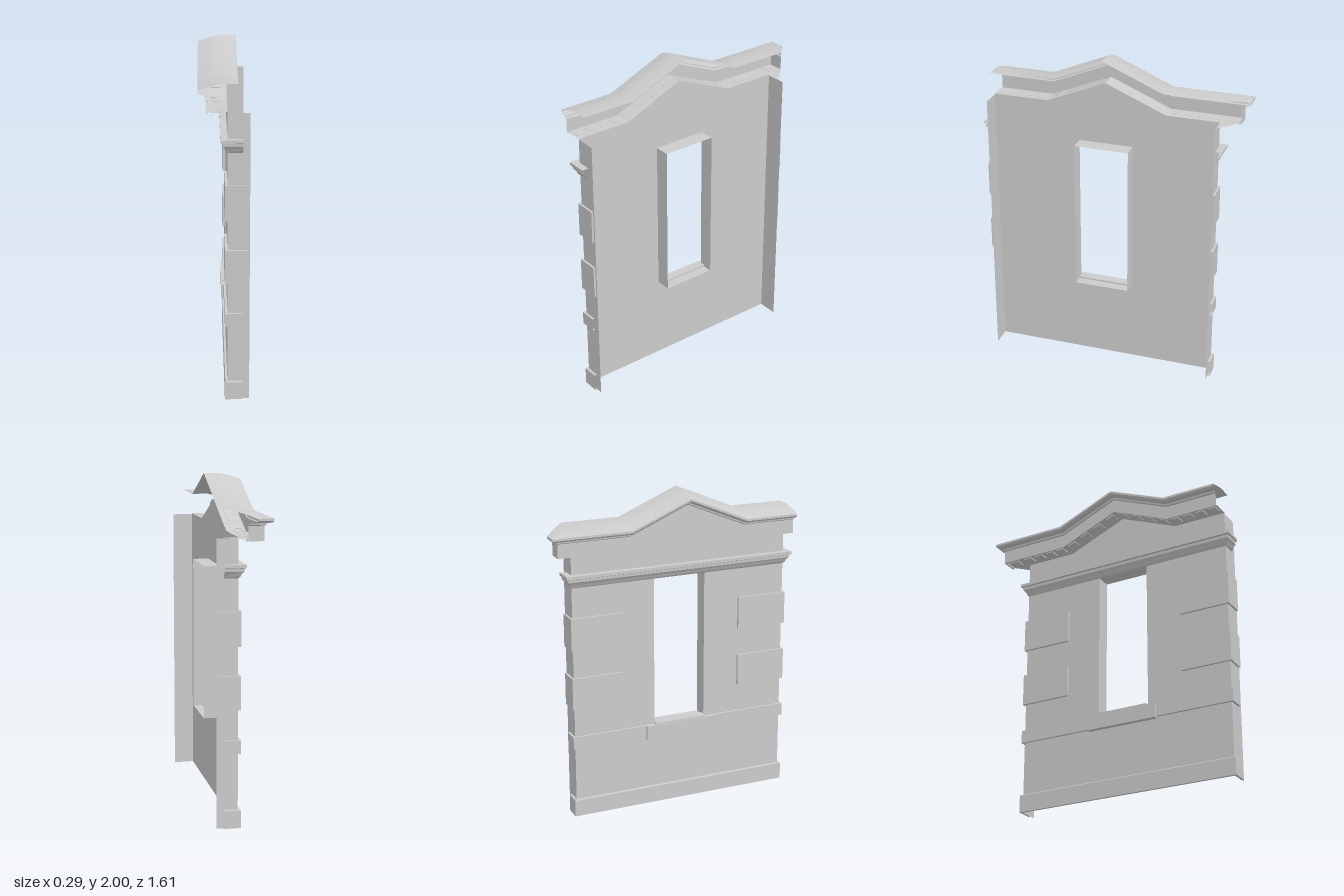
import * as THREE from 'three';
import { toCreasedNormals } from 'three/addons/utils/BufferGeometryUtils.js';

const WX = 0.015;              // wall plane, the facade faces -x
const Z0 = 0.765, Z1 = -0.635; // the two ends of the wall
const GABLE = [[Z0, 0], [0.43, 0], [0.06, 0.155], [-0.31, 0]]; // z, rise
const WIN = { z0: -0.11, z1: 0.225, y0: 0.525, y1: 1.46 };

const mat = new THREE.MeshStandardMaterial({ color: 0xcccccc, side: THREE.DoubleSide });

function add(parent, name, geo) {
  const mesh = new THREE.Mesh(geo, mat);
  mesh.name = name;
  parent.add(mesh);
  return mesh;
}

// box from its two extreme corners
function box(parent, name, x0, x1, y0, y1, z0, z1) {
  const m = add(parent, name, new THREE.BoxGeometry(x1 - x0, y1 - y0, z1 - z0));
  m.position.set((x0 + x1) / 2, (y0 + y1) / 2, (z0 + z1) / 2);
  return m;
}

// sweep a profile of [offset from wall, height] through stations; offset -> [x, z, rise]
function sweep(profile, stations) {
  const pos = [], idx = [], n = profile.length;
  for (const st of stations)
    for (const [d, y] of profile) {
      const [x, z, h] = st(d);
      pos.push(x, y + h, z);
    }
  for (let s = 0; s < stations.length - 1; s++)
    for (let i = 0; i < n - 1; i++) {
      const a = s * n + i, b = a + n;
      idx.push(a, a + 1, b, b, a + 1, b + 1);
    }
  const geo = new THREE.BufferGeometry();
  geo.setAttribute('position', new THREE.Float32BufferAttribute(pos, 3));
  geo.setIndex(idx);
  return toCreasedNormals(geo, 0.5);
}

// horizontal moulding along the facade, returning round both ends
function band(parent, name, profile, xEnd) {
  add(parent, name, sweep(profile, [
    d => [xEnd, Z0 + d, 0],
    d => [WX - d, Z0 + d, 0],
    d => [WX - d, Z1 - d, 0],
    d => [xEnd, Z1 - d, 0],
  ]));
}

export function createModel() {
  const model = new THREE.Group();
  model.name = 'gabledWallSection';

  // wall sheet with gable top and window hole; shape x is -z
  const shape = new THREE.Shape();
  shape.moveTo(-Z0, 0);
  for (const [z, h] of GABLE) shape.lineTo(-z, 1.69 + h);
  shape.lineTo(-Z1, 1.69);
  shape.lineTo(-Z1, 0);
  const hole = new THREE.Path();
  hole.moveTo(-WIN.z1, WIN.y0);
  hole.lineTo(-WIN.z1, WIN.y1);
  hole.lineTo(-WIN.z0, WIN.y1);
  hole.lineTo(-WIN.z0, WIN.y0);
  shape.holes.push(hole);
  const wall = add(model, 'wall', new THREE.ShapeGeometry(shape));
  wall.rotation.y = Math.PI / 2;
  wall.position.x = WX;

  // wall ends turning inward
  for (const z of [Z0, Z1]) {
    const end = add(model, 'wallEnd', new THREE.PlaneGeometry(0.125, 1.685));
    end.position.set(WX + 0.0625, 0.8425, z);
  }

  // window reveal running inward from the opening
  const rim = [[WIN.z0, WIN.y0], [WIN.z1, WIN.y0], [WIN.z1, WIN.y1], [WIN.z0, WIN.y1], [WIN.z0, WIN.y0]];
  add(model, 'windowReveal', sweep(
    [[0, 0], [0.095, 0]],
    rim.map(([z, y]) => d => [WX + d, z, y])));

  // window sill with a small raised ledge
  box(model, 'windowSill', -0.015, WX, 0.435, 0.525, -0.17, 0.285);
  box(model, 'sillLedge', -0.01, 0.05, 0.525, 0.535, WIN.z0, WIN.z1);

  // plinth, string course and upper cornice
  band(model, 'plinth', [[0, 0], [0.015, 0], [0.015, 0.105], [0.012, 0.11], [0, 0.11]], 0.1);
  band(model, 'stringCourse', [[0, 0.445], [0.015, 0.445], [0.015, 0.525], [0, 0.525]], 0.1);
  band(model, 'upperCornice', [
    [0, 1.46], [0.01, 1.47], [0.015, 1.485], [0.028, 1.5], [0.03, 1.518], [0.04, 1.522], [0.04, 1.54], [0, 1.54],
  ], 0.1);

  // corner blocks wrapping both ends
  for (const [y0, y1] of [[0.7, 0.9], [1.07, 1.275]])
    for (const [z, dir] of [[Z0, 1], [Z1, -1]]) {
      const block = new THREE.Group();
      block.name = 'cornerBlock';
      const out = z + dir * 0.013, inner = z - dir * 0.31;
      box(block, 'blockFace', 0, WX, y0, y1, Math.min(out, inner), Math.max(out, inner));
      box(block, 'blockReturn', WX, 0.13, y0, y1, Math.min(out, z), Math.max(out, z));
      model.add(block);
    }

  // entablature and roof follow the gable, then turn the far corner and end on a diagonal
  const path = GABLE.map(([z, h]) => d => [WX - d, z, h]);
  path.push(d => [WX - d, Z1 - (d < 0 ? 0.035 : d), 0]);
  path.push(d => [d < 0 ? 0.075 : 0.105 - d, Z1 - (d < 0 ? 0.035 : d), 0]);
  add(model, 'entablature', sweep([
    [0, 1.69], [0.108, 1.69], [0.108, 1.68], [0.12, 1.68], [0.12, 1.765],
    [0.128, 1.77], [0.13, 1.78], [0.155, 1.785], [0.165, 1.795], [0.165, 1.808],
  ], path));
  add(model, 'roof', sweep([[0.165, 1.808], [0.1, 1.83], [0.035, 1.845], [-0.06, 1.845]], path));

  // small panels under the soffit
  const soffit = [...GABLE, [Z1, 0]];
  for (let s = 0; s < soffit.length - 1; s++) {
    const [za, ha] = soffit[s], [zb, hb] = soffit[s + 1];
    for (let i = 0; i < 4; i++) {
      const t = (i + 0.5) / 4;
      const panel = add(model, 'soffitPanel', new THREE.BoxGeometry(0.06, 0.008, 0.055));
      panel.position.set(-0.05, 1.687 + ha + (hb - ha) * t, za + (zb - za) * t);
      panel.rotation.x = Math.atan2(hb - ha, za - zb);
    }
  }
  box(model, 'soffitPanel', -0.08, -0.02, 1.683, 1.691, Z1 - 0.1, Z1 - 0.03);

  return model;
}
